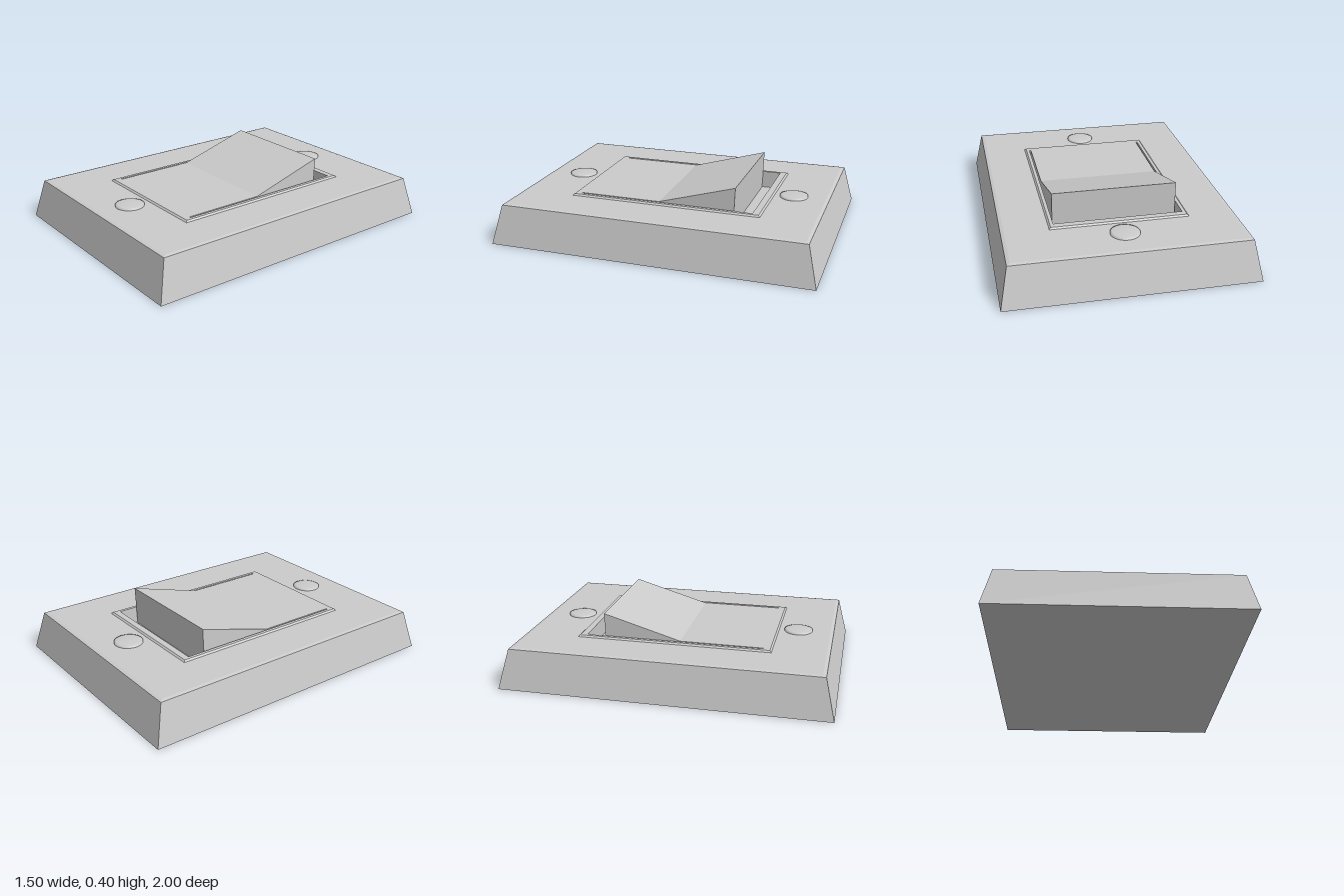
import * as THREE from 'three';

const material = new THREE.MeshStandardMaterial({ color: 0xcccccc });

function addPart(group, name, geometry) {
  const mesh = new THREE.Mesh(geometry, material);
  mesh.name = name;
  group.add(mesh);
  return mesh;
}

// Skin of stacked rectangular rings [halfX, halfZ, y], closed at both ends
function rectangleLoft(rings) {
  const pos = [];
  const corner = ([x, z, y], i) => [[x, y, z], [x, y, -z], [-x, y, -z], [-x, y, z]][i % 4];
  const quad = (a, b, c, d) => pos.push(...a, ...b, ...c, ...a, ...c, ...d);
  for (let r = 0; r < rings.length - 1; r++) {
    for (let i = 0; i < 4; i++) {
      quad(corner(rings[r], i), corner(rings[r], i + 1), corner(rings[r + 1], i + 1), corner(rings[r + 1], i));
    }
  }
  const first = rings[0], last = rings[rings.length - 1];
  quad(...[3, 2, 1, 0].map((i) => corner(first, i)));
  quad(...[0, 1, 2, 3].map((i) => corner(last, i)));
  const geometry = new THREE.BufferGeometry();
  geometry.setAttribute('position', new THREE.Float32BufferAttribute(pos, 3));
  geometry.computeVertexNormals();
  return geometry;
}

export function createModel() {
  const group = new THREE.Group();
  group.name = 'rockerSwitch';

  // Tapered cover plate with a raised rim around the rocker recess
  addPart(group, 'coverPlate', rectangleLoft([
    [0.75, 1, 0],
    [0.70, 0.94, 0.245],
    [0.68, 0.92, 0.25],
    [0.42, 0.60, 0.25],
    [0.41, 0.59, 0.26],
    [0.39, 0.55, 0.26],
    [0.39, 0.55, 0.15],
  ]));

  // Rocker: side profile in (z, y), flush in front and tilted up at the back
  const profile = new THREE.Shape([
    [0.55, 0.15], [0.55, 0.26], [0.04, 0.26], [-0.44, 0.40], [-0.43, 0.15],
  ].map(([z, y]) => new THREE.Vector2(z, y)));
  const rocker = new THREE.ExtrudeGeometry(profile, { depth: 0.76, bevelEnabled: false });
  rocker.translate(0, 0, -0.38).rotateY(-Math.PI / 2);
  addPart(group, 'rocker', rocker);

  // Low domed screw heads
  const head = [[0.088, 0.245], [0.088, 0.258], [0.075, 0.262], [0.04, 0.265], [0, 0.266]]
    .map(([r, y]) => new THREE.Vector2(r, y));
  for (const [name, z] of [['frontScrew', 0.72], ['backScrew', -0.72]]) {
    addPart(group, name, new THREE.LatheGeometry(head, 40)).position.z = z;
  }

  return group;
}
